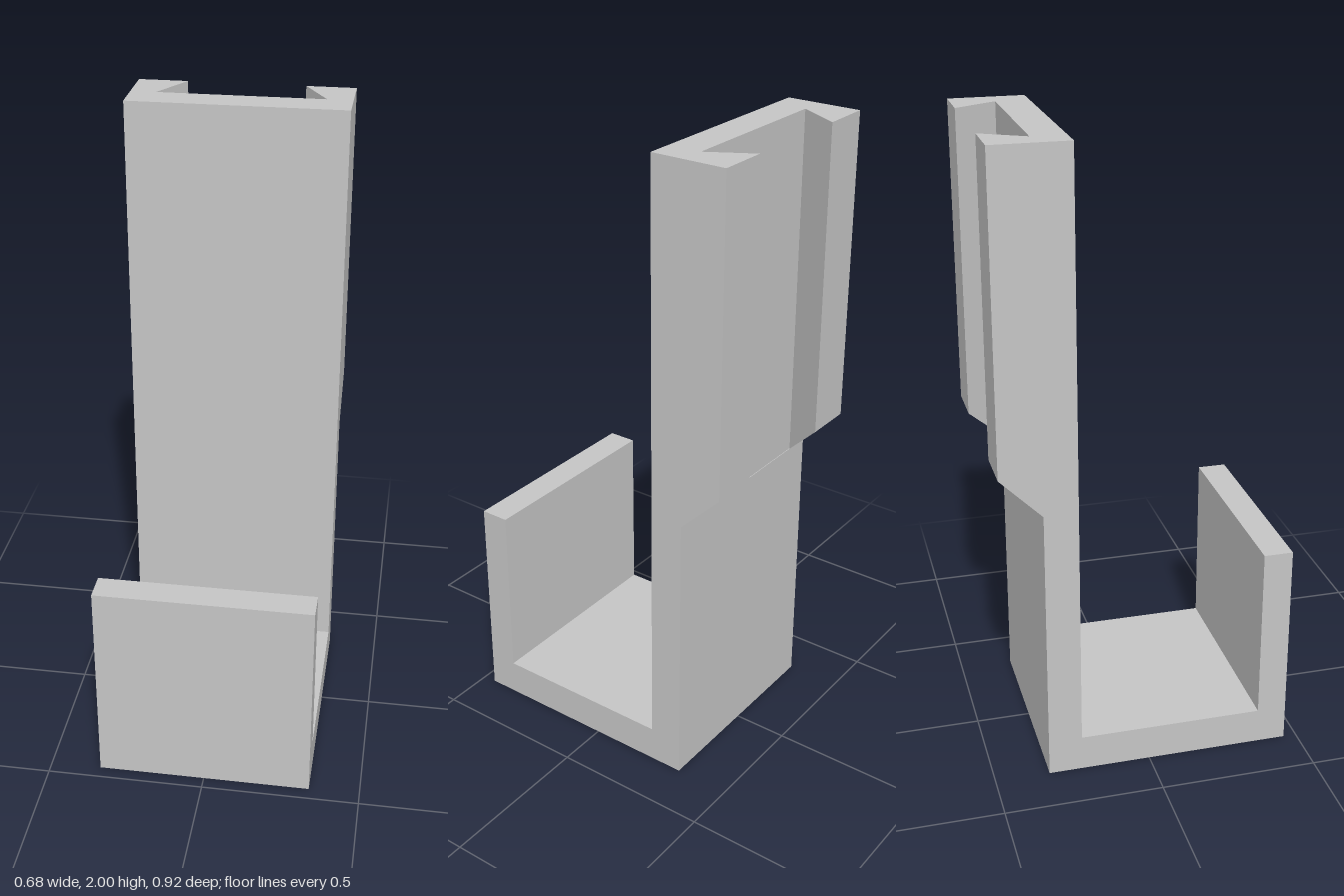
import * as THREE from 'three';

const WIDTH = 0.678;
const FRONT = 0.458, LIP_INNER = 0.365, PLATE_FRONT = -0.221;
const POCKET_BACK = -0.325, PLATE_BACK = -0.327, RAIL_BACK = -0.458;
const HEIGHT = 2, FLOOR = 0.115, LIP_TOP = 0.682, RAIL_BOTTOM = 0.904;

const shapeOf = (points) => new THREE.Shape(points.map(([x, y]) => new THREE.Vector2(x, y)));

// J-shaped side profile (z, y) swept across the width, with a shallow step under the rail channel
function hookGeometry() {
  const profile = shapeOf([
    [FRONT, 0], [FRONT, LIP_TOP], [LIP_INNER, LIP_TOP], [LIP_INNER, FLOOR],
    [PLATE_FRONT, FLOOR], [PLATE_FRONT, HEIGHT], [POCKET_BACK, HEIGHT],
    [POCKET_BACK, RAIL_BOTTOM], [PLATE_BACK, RAIL_BOTTOM], [PLATE_BACK, 0],
  ]);
  return new THREE.ExtrudeGeometry(profile, { depth: WIDTH, bevelEnabled: false })
    .translate(0, 0, -WIDTH / 2)
    .rotateY(-Math.PI / 2);
}

// Dovetail rail: undercut section (x, -z) swept upward, lower end cut at 45 degrees
function railGeometry(side) {
  const section = shapeOf([
    [side * WIDTH / 2, -POCKET_BACK], [side * WIDTH / 2, -RAIL_BACK],
    [side * 0.184, -RAIL_BACK], [side * 0.26, -POCKET_BACK],
  ]);
  const geometry = new THREE.ExtrudeGeometry(section, { depth: HEIGHT, bevelEnabled: false })
    .rotateX(-Math.PI / 2);
  const p = geometry.attributes.position;
  for (let i = 0; i < p.count; i++) {
    if (p.getY(i) < HEIGHT / 2) p.setY(i, RAIL_BOTTOM + (PLATE_BACK - p.getZ(i)));
  }
  geometry.computeVertexNormals();
  return geometry;
}

export function createModel() {
  const group = new THREE.Group();
  group.name = 'slideOnHook';
  const grey = new THREE.MeshStandardMaterial({ color: 0xc6c6c6 });
  grey.name = 'lightGrey';

  const add = (name, geometry) => {
    const mesh = new THREE.Mesh(geometry, grey);
    mesh.name = name;
    group.add(mesh);
  };

  add('hookBody', hookGeometry());
  add('leftRail', railGeometry(1));
  add('rightRail', railGeometry(-1));
  return group;
}
